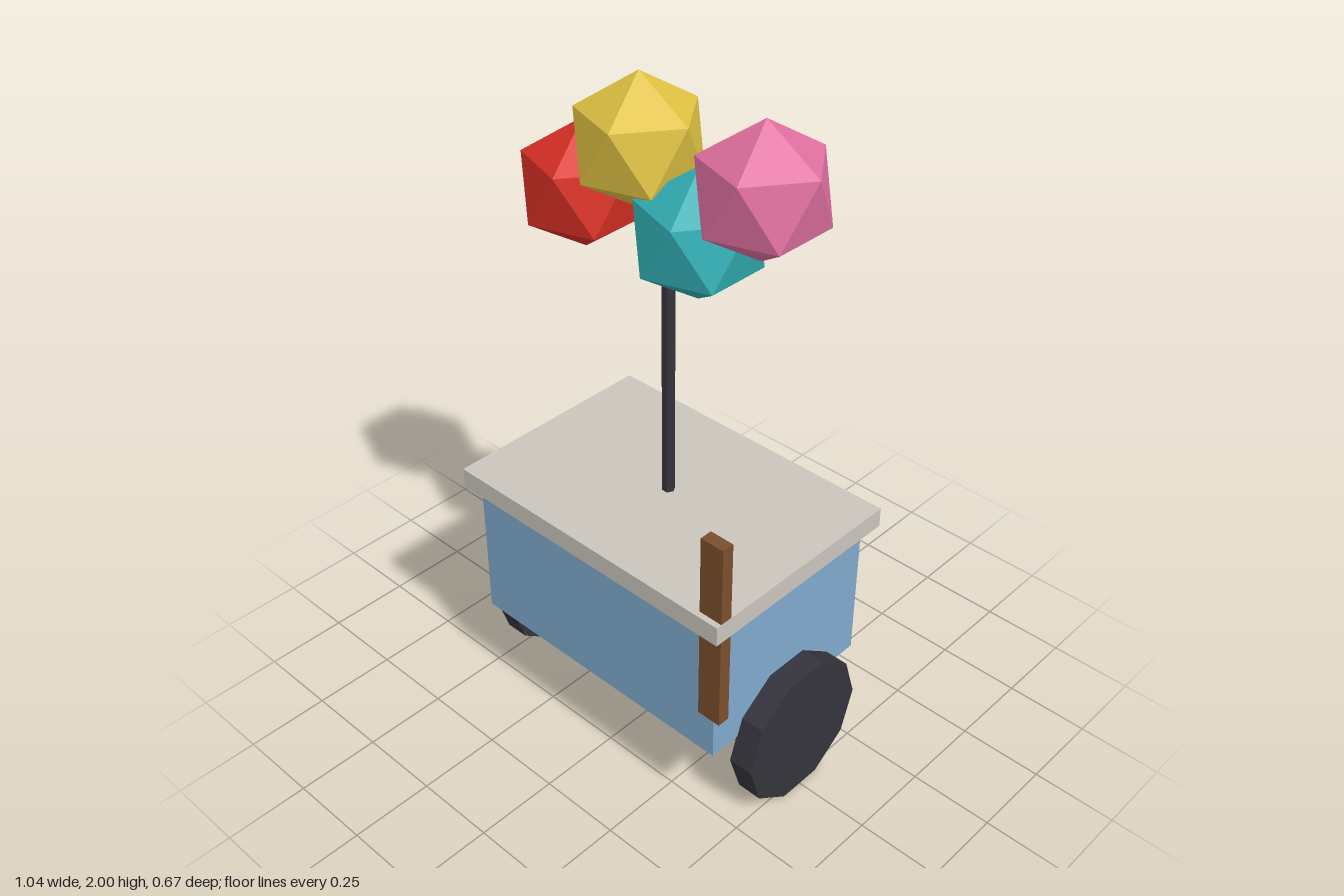
import * as THREE from 'three';

const mat = (name, color, flat = true) => {
  const m = new THREE.MeshStandardMaterial({ color, flatShading: flat });
  m.name = name;
  return m;
};

export function createModel() {
  const group = new THREE.Group();
  const dark = mat('charcoal', 0x35343c);

  const add = (name, geometry, material, x, y, z) => {
    const mesh = new THREE.Mesh(geometry, material);
    mesh.name = name;
    mesh.position.set(x, y, z);
    group.add(mesh);
    return mesh;
  };

  // Cart body and overhanging counter
  add('cartBody', new THREE.BoxGeometry(0.9, 0.445, 0.6), mat('sky blue', 0x7faacd), 0, 0.5125, 0);
  add('counterTop', new THREE.BoxGeometry(0.97, 0.06, 0.67), mat('warm grey', 0xcac5bc), 0, 0.765, 0);

  // Ten-sided wheels, one on each side
  const wheel = new THREE.CylinderGeometry(0.2245, 0.2245, 0.075, 10).rotateZ(Math.PI / 2);
  for (const [name, side] of [['leftWheel', 1], ['rightWheel', -1]]) {
    add(name, wheel, dark, side * 0.485, 0.2135, 0);
  }

  // Upright handle at the front left corner
  add('handle', new THREE.BoxGeometry(0.074, 0.592, 0.037), mat('wood brown', 0x7b4f2c), 0.447, 0.737, 0.299);

  // Six-sided pole
  const pole = new THREE.CylinderGeometry(0.0187, 0.0187, 0.72, 6).rotateY(Math.PI / 6);
  add('pole', pole, dark, 0, 1.122, 0);

  // Balloons, each a faceted ball with a corner pointing straight up
  const phi = (1 + Math.sqrt(5)) / 2;
  const ball = new THREE.IcosahedronGeometry(0.1835, 0).rotateZ(-Math.atan(1 / phi));
  [
    ['redBalloon', 'red', 0xd93026],
    ['yellowBalloon', 'yellow', 0xdfc142],
    ['tealBalloon', 'teal', 0x31afb4],
    ['pinkBalloon', 'pink', 0xe070a0],
  ].forEach(([name, colorName, hex], i) => {
    add(name, ball, mat(colorName, hex), -0.301 + i * 0.202, i % 2 ? 1.8165 : 1.633, 0);
  });

  return group;
}
